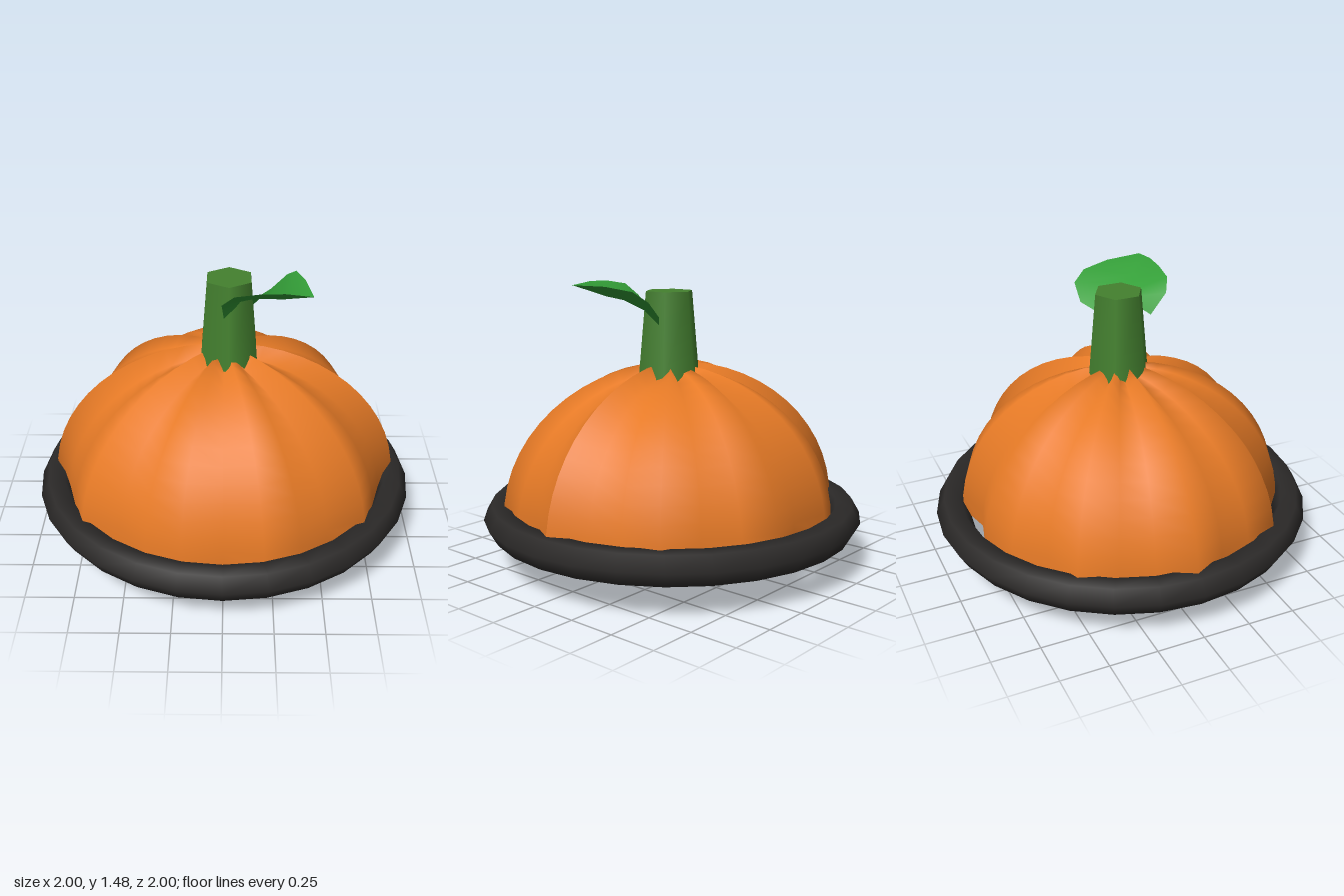
import * as THREE from 'three';

const ORANGE = 0xe67a26, STEM = 0x44812f, LEAF = 0x349f38, BLACK = 0x2c2a29;

function part(name, geometry, color, side = THREE.FrontSide) {
  const mesh = new THREE.Mesh(geometry, new THREE.MeshStandardMaterial({ color, side }));
  mesh.name = name;
  return mesh;
}

// Hollow half shell with ten soft ribs
function shellGeometry() {
  const g = new THREE.SphereGeometry(1, 28, 14, Math.PI, Math.PI * 2, 0, Math.PI / 2);
  const p = g.attributes.position, cols = 29;
  for (let i = 0; i < p.count; i++) {
    const a = ((i % cols) / 28) * Math.PI * 2;
    const rib = 0.875 + 0.045 * Math.cos(10 * a);
    p.setXYZ(i, p.getX(i) * rib, p.getY(i) * rib * 0.88, p.getZ(i) * rib * 0.95);
  }
  g.computeVertexNormals();
  return g;
}

// Curled leaf: each row runs from the front edge over the midrib to the back edge
function leafGeometry() {
  const rows = [
    [[0.00, 1.28, 0.17], [0.11, 1.35, 0.07], [0.15, 1.26, -0.04]],
    [[-0.01, 1.39, 0.25], [0.15, 1.36, 0.11], [0.24, 1.31, -0.12]],
    [[0.05, 1.45, 0.285], [0.21, 1.38, 0.15], [0.32, 1.39, -0.12]],
    [[0.17, 1.47, 0.295], [0.28, 1.40, 0.20], [0.36, 1.44, -0.05]],
    [[0.29, 1.475, 0.30], [0.35, 1.43, 0.25], [0.395, 1.46, 0.10]],
    [[0.425, 1.46, 0.30], [0.425, 1.46, 0.30], [0.425, 1.46, 0.30]],
  ];
  const index = [];
  for (let r = 0; r < rows.length - 1; r++) {
    for (let c = 0; c < 2; c++) {
      const a = r * 3 + c, b = a + 3;
      index.push(a, b, a + 1, a + 1, b, b + 1);
    }
  }
  const g = new THREE.BufferGeometry();
  g.setAttribute('position', new THREE.Float32BufferAttribute(rows.flat(2), 3));
  g.setIndex(index);
  g.computeVertexNormals();
  return g;
}

export function createModel() {
  const model = new THREE.Group();
  model.name = 'pumpkinHelmet';

  const shell = part('ribbedShell', shellGeometry(), ORANGE, THREE.DoubleSide);
  shell.position.y = 0.25;
  model.add(shell);

  // Thick rim around the opening
  const rim = part('rim', new THREE.TorusGeometry(0.915, 0.0866, 6, 28).rotateX(Math.PI / 2), BLACK);
  rim.position.y = 0.247;
  model.add(rim);

  // Half-ring strap below the front
  const strap = part('chinStrap',
    new THREE.TorusGeometry(0.415, 0.044, 6, 14, Math.PI).rotateX(Math.PI / 2), BLACK, THREE.DoubleSide);
  strap.position.set(0.02, 0.038, 0.15);
  strap.scale.z = 1.02;
  model.add(strap);

  // Six-sided tapering stem
  const stem = part('stem', new THREE.CylinderGeometry(0.126, 0.167, 0.45, 6), STEM);
  stem.position.set(0.025, 1.2, 0);
  model.add(stem);

  model.add(part('leaf', leafGeometry(), LEAF, THREE.DoubleSide));

  // Small knob inside the shell
  const knob = part('innerKnob', new THREE.CylinderGeometry(0.12, 0.12, 0.25, 6), BLACK);
  knob.position.set(0, 0.76, -0.03);
  model.add(knob);

  return model;
}
